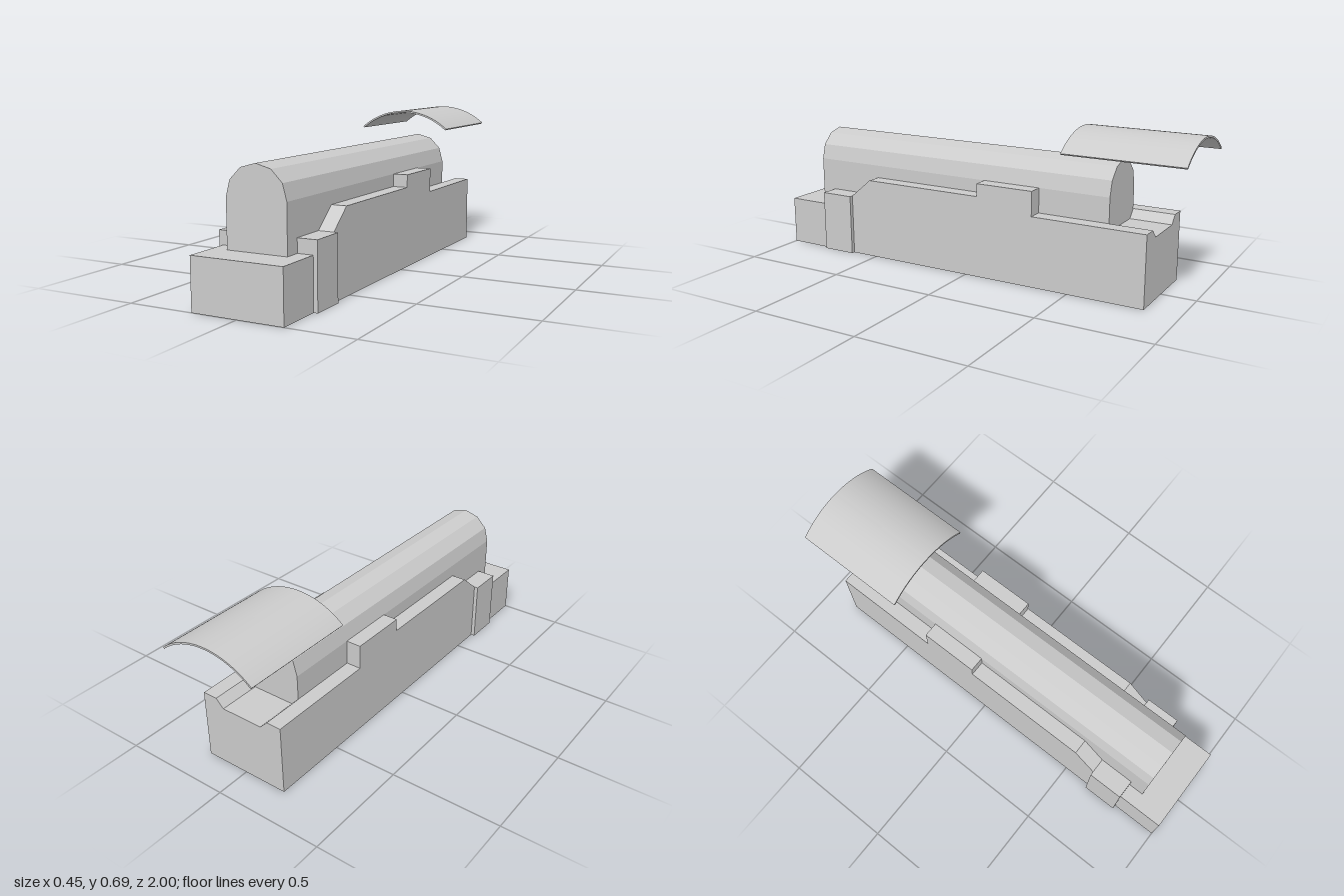
import * as THREE from 'three';
import { toCreasedNormals } from 'three/addons/utils/BufferGeometryUtils.js';

const material = new THREE.MeshStandardMaterial({ color: 0xcccccc });

const polygon = (points) => new THREE.Shape(points.map(([x, y]) => new THREE.Vector2(x, y)));

// Extrude a front-on (x, y) shape from z0 to z1
function extrudeZ(shape, z0, z1, curveSegments = 12) {
  const geometry = new THREE.ExtrudeGeometry(shape, { depth: z1 - z0, bevelEnabled: false, curveSegments });
  return geometry.translate(0, 0, z0);
}

export function createModel() {
  const group = new THREE.Group();
  const add = (name, geometry) => {
    const mesh = new THREE.Mesh(geometry, material);
    mesh.name = name;
    group.add(mesh);
    return mesh;
  };

  // Stepped hull: side profile in (z, y), extruded across the width
  const halfWidth = 0.205;
  const hullProfile = polygon([
    [-0.33, 0], [1, 0], [1, 0.222], [0.79, 0.222], [0.79, 0.282], [0.63, 0.282],
    [0.525, 0.37], [-0.06, 0.37], [-0.06, 0.428], [-0.33, 0.428],
  ]);
  add('hull', extrudeZ(hullProfile, -halfWidth, halfWidth).rotateY(-Math.PI / 2));

  // Rear deck with a shallow sloped trough behind the barrel
  const rearProfile = polygon([
    [-halfWidth, 0], [halfWidth, 0], [halfWidth, 0.317], [0.136, 0.317],
    [0.1, 0.28], [-0.1, 0.28], [-0.136, 0.317], [-halfWidth, 0.317],
  ]);
  add('rearDeck', extrudeZ(rearProfile, -0.845, -0.33));

  // Pads standing slightly proud of the hull sides
  for (const [name, side] of [['leftPad', 1], ['rightPad', -1]]) {
    const pad = add(name, new THREE.BoxGeometry(0.018, 0.282, 0.16));
    pad.position.set(side * (halfWidth + 0.009), 0.141, 0.71);
  }

  // Long barrel with straight sides and a faceted round top
  const radius = 0.136;
  const barrelPoints = [[-radius, 0.2], [radius, 0.2]];
  for (let i = 0; i <= 6; i++) {
    const a = (i * Math.PI) / 6;
    barrelPoints.push([radius * Math.cos(a), 0.428 + radius * Math.sin(a)]);
  }
  add('barrel', extrudeZ(polygon(barrelPoints), -0.655, 0.86));

  // Thin curved canopy floating above the rear
  const outer = 0.352, inner = 0.344, centreY = 0.34, spread = 0.701;
  const start = Math.PI / 2 - spread, end = Math.PI / 2 + spread;
  const canopyShape = new THREE.Shape();
  canopyShape.absarc(0, centreY, outer, start, end, false);
  canopyShape.absarc(0, centreY, inner, end, start, true);
  add('canopy', toCreasedNormals(extrudeZ(canopyShape, -1, -0.47, 32), 0.5));

  return group;
}
